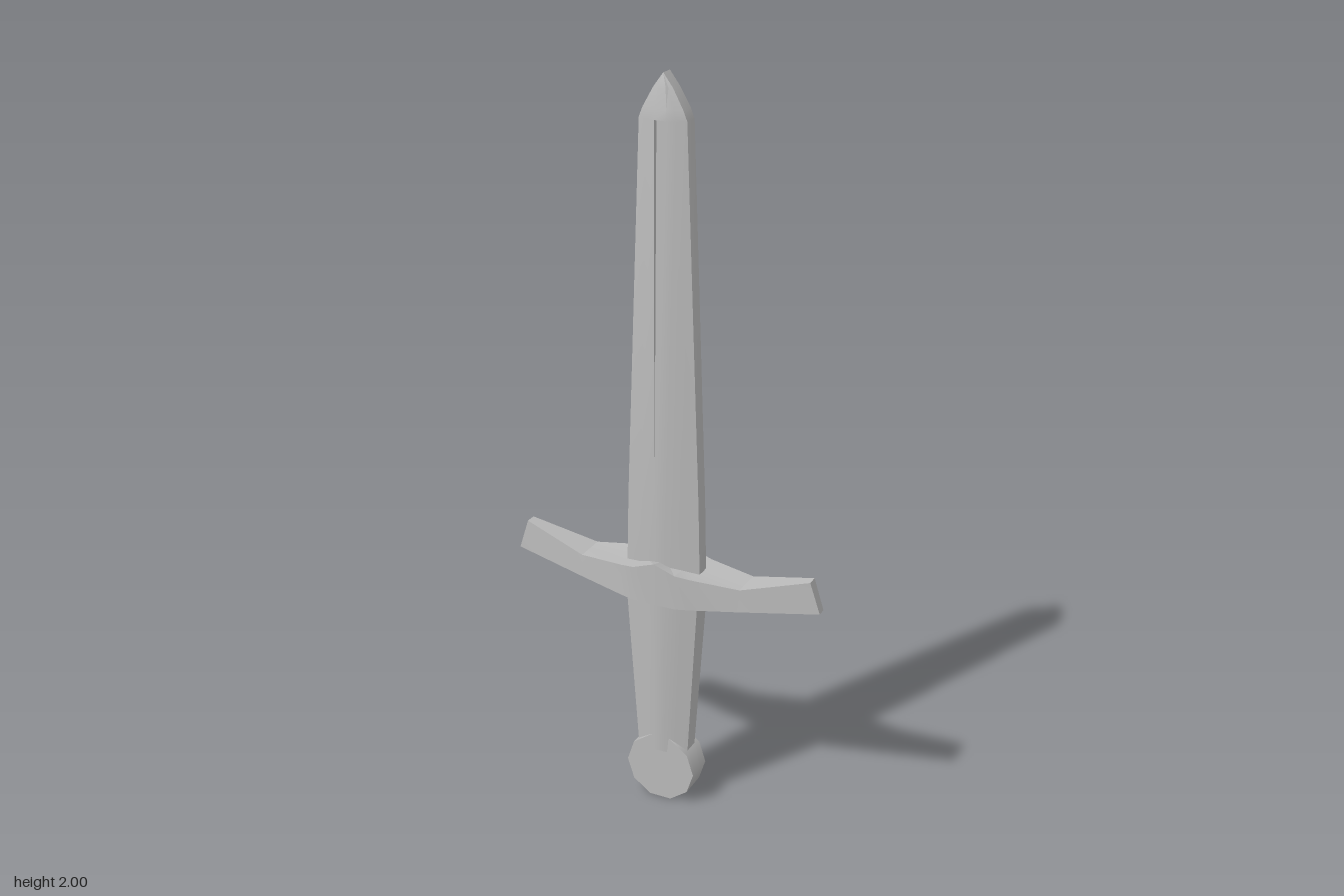
import * as THREE from 'three';
import { toCreasedNormals } from 'three/addons/utils/BufferGeometryUtils.js';

const steel = new THREE.MeshStandardMaterial({ color: 0xbababa });
steel.name = 'grey steel';

// Skin a list of equal-length rings (counter-clockwise seen from the far end), with end caps
function loft(rings, crease = 0.6) {
  const n = rings[0].length, index = [];
  for (let r = 0; r < rings.length - 1; r++) {
    for (let i = 0; i < n; i++) {
      const a = r * n + i, b = r * n + (i + 1) % n;
      index.push(a, b, b + n, a, b + n, a + n);
    }
  }
  const last = (rings.length - 1) * n;
  for (let i = 1; i < n - 1; i++) {
    index.push(0, i + 1, i, last, last + i, last + i + 1);
  }
  const g = new THREE.BufferGeometry();
  g.setAttribute('position', new THREE.Float32BufferAttribute(rings.flat(2), 3));
  g.setIndex(index);
  return toCreasedNormals(g, crease);
}

// Flattened blade section: edge flats, shoulders and a central groove of depth d
function bladeRing([y, w, edge, mid, d]) {
  const g = Math.min(0.015, w * 0.4), s = edge + (mid - edge) * 0.5;
  const quarter = [[w, edge], [w * 0.6, s], [g, mid], [g, mid - d]];
  const mirrored = [...quarter].reverse();
  return [
    ...quarter.map(([x, z]) => [x, y, -z]),
    ...mirrored.map(([x, z]) => [-x, y, -z]),
    ...quarter.map(([x, z]) => [-x, y, z]),
    ...mirrored.map(([x, z]) => [x, y, z]),
  ];
}

// Guard section: the top dips between its front and back edges
function guardRing([xb, xt, yb, yt, ym, zb, zt]) {
  return [[xb, yb, -zb], [xt, yt, -zt], [xt, ym, 0], [xt, yt, zt], [xb, yb, zb]];
}

export function createModel() {
  const model = new THREE.Group();
  const add = (name, geometry) => {
    const mesh = new THREE.Mesh(geometry, steel);
    mesh.name = name;
    model.add(mesh);
    return mesh;
  };

  // Blade: y, half width, edge half depth, centre half depth, groove depth
  add('blade', loft([
    [0.64, 0.107, 0.02, 0.04, 0],
    [0.9, 0.101, 0.02, 0.04, 0],
    [1.89, 0.064, 0.02, 0.038, 0.014],
    [1.89, 0.064, 0.02, 0.038, 0],
    [1.915, 0.054, 0.02, 0.034, 0],
    [1.965, 0.026, 0.018, 0.026, 0],
    [2.0, 0, 0.018, 0.018, 0],
  ].map(bladeRing)));

  // Grip: tapers towards the pommel
  add('grip', loft([
    [0.15, 0.074, 0.022, 0.042, 0],
    [0.66, 0.106, 0.03, 0.056, 0],
  ].map(bladeRing), 0.8));

  // Crossguard: bottom x, top x, bottom y, top y, top middle y, bottom and top half depth
  const half = [
    [0.06, 0.06, 0.62, 0.717, 0.71, 0.077, 0.077],
    [0.1, 0.1, 0.623, 0.71, 0.705, 0.07, 0.067],
    [0.23, 0.23, 0.638, 0.7, 0.7, 0.048, 0.044],
    [0.44, 0.412, 0.665, 0.75, 0.75, 0.013, 0.015],
  ];
  const other = [...half].reverse().map(([a, b, ...rest]) => [-a, -b, ...rest]);
  const centre = [0, 0, 0.62, 0.738, 0.715, 0.077, 0.077];
  add('crossguard', loft([...other, centre, ...half].map(guardRing), 0.3));

  // Pommel: ten-sided disc facing front
  const disc = new THREE.CylinderGeometry(0.1, 0.1, 0.08, 10, 1, false, Math.PI / 2);
  disc.rotateX(Math.PI / 2);
  add('pommel', disc).position.y = 0.0955;

  return model;
}
